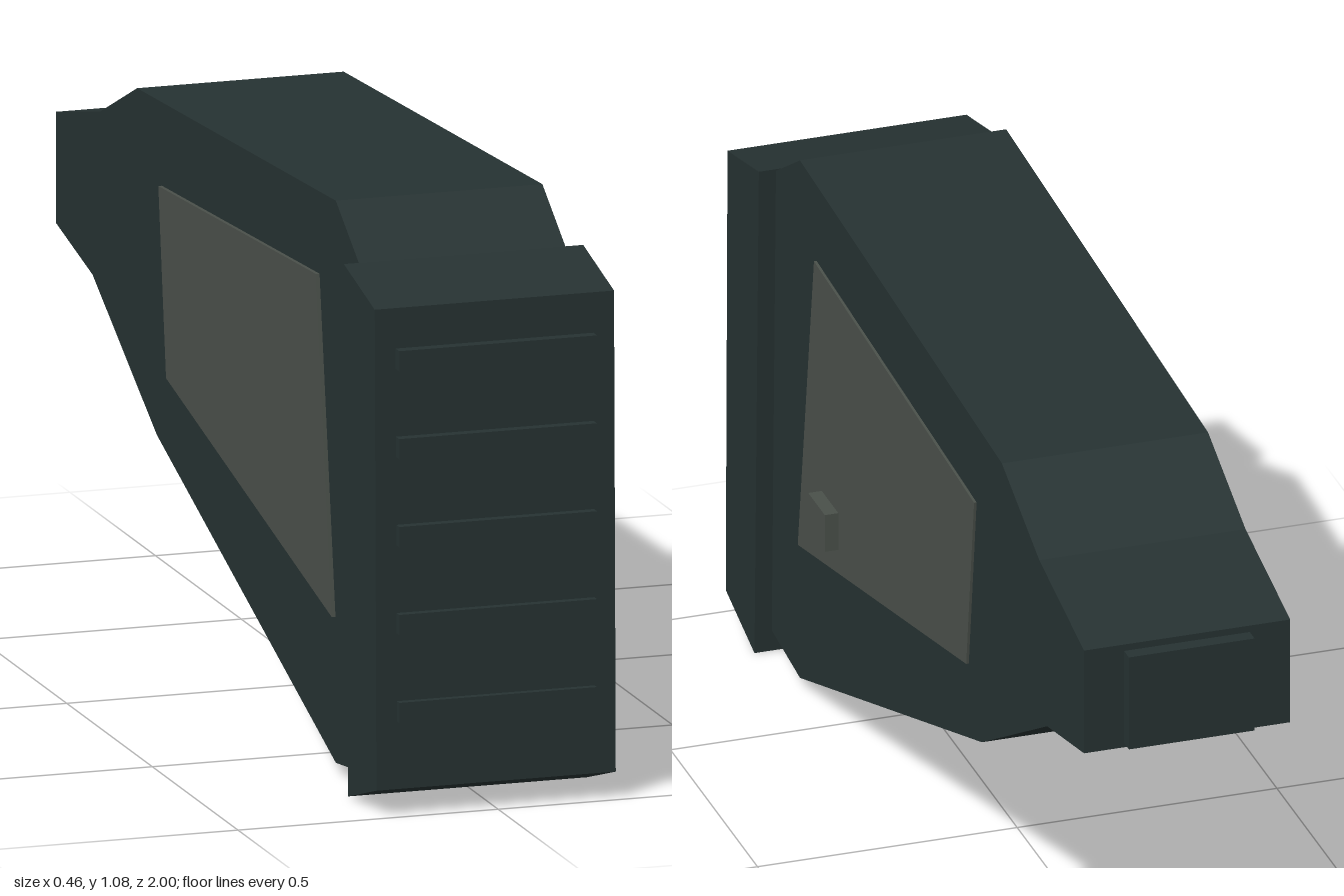
import * as THREE from 'three';

const bodyMat = new THREE.MeshStandardMaterial({ color: 0x263232 });
bodyMat.name = 'dark slate';
const panelMat = new THREE.MeshStandardMaterial({ color: 0x4a504a });
panelMat.name = 'panel grey';

// Extrudes a side profile of [z, y] points across the width from x0 to x1
function slab(name, points, x0, x1, material, hole) {
  const toVec = ([z, y]) => new THREE.Vector2(-z, y);
  const shape = new THREE.Shape(points.map(toVec));
  if (hole) shape.holes.push(new THREE.Path(hole.map(toVec)));
  const geometry = new THREE.ExtrudeGeometry(shape, { depth: x1 - x0, bevelEnabled: false });
  geometry.rotateY(Math.PI / 2).translate(x0, 0, 0);
  const mesh = new THREE.Mesh(geometry, material);
  mesh.name = name;
  return mesh;
}

const rect = (z0, z1, y0, y1) => [[z0, y0], [z1, y0], [z1, y1], [z0, y1]];

export function createModel() {
  const model = new THREE.Group();
  model.name = 'wedgeStock';

  // Main tapering body
  model.add(slab('body', [
    [0.81, 0.985], [0.66, 1.08], [-0.5, 1.015], [-0.715, 0.92], [-0.972, 0.858],
    [-0.972, 0.648], [-0.76, 0.602], [-0.385, 0.39], [0.66, 0.022], [0.825, 0.042],
  ], -0.2, 0.197, bodyMat));

  // Wider end pad with chamfered top and bottom
  model.add(slab('endPad', [
    [0.798, 0.996], [0.978, 0.953], [0.988, 0.05], [0.823, 0],
  ], -0.23, 0.23, bodyMat));

  // Grip ribs across the pad
  for (let i = 0; i < 5; i++) {
    const y = 0.196 + i * 0.1655;
    model.add(slab('gripRib', rect(0.96, 1, y - 0.019, y + 0.019), -0.19, 0.19, bodyMat));
  }

  // Small plate on the narrow end
  model.add(slab('rearPlate', rect(-1, -0.96, 0.657, 0.845), -0.122, 0.12, bodyMat));

  // Side panels
  const panel = [[0.565, 0.92], [-0.355, 0.866], [-0.31, 0.515], [0.658, 0.296]];
  model.add(slab('leftPanel', panel, 0.195, 0.202, panelMat));
  model.add(slab('rightPanel', panel, -0.207, -0.198, panelMat));

  // Raised square socket on the left panel
  model.add(slab('socket', rect(0.425, 0.52, 0.397, 0.472), 0.2, 0.228, panelMat,
    rect(0.447, 0.498, 0.412, 0.457)));

  return model;
}
